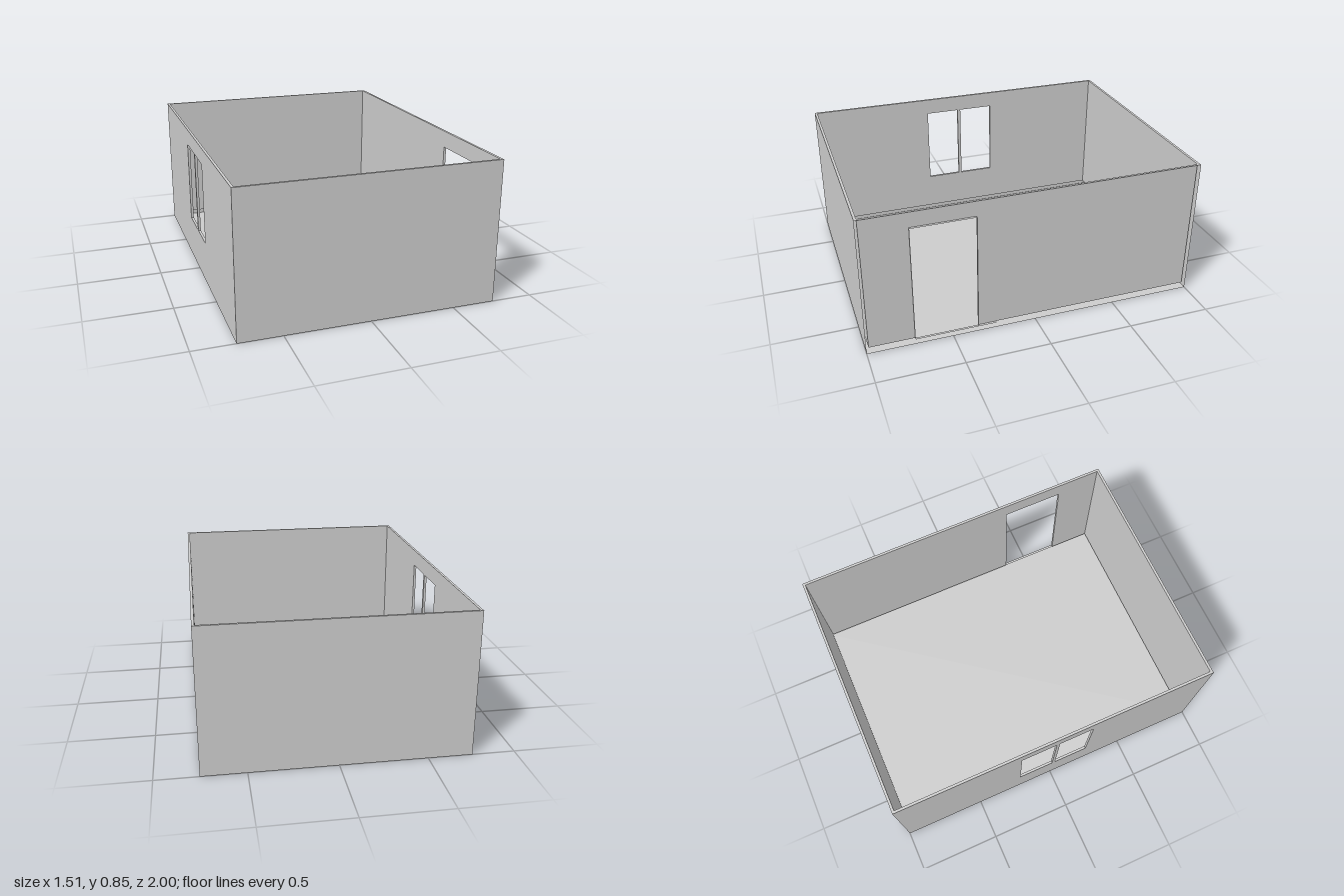
import * as THREE from 'three';

const W = 0.755, D = 1, H = 0.85, T = 0.015, LIFT = 0.03;
const material = new THREE.MeshStandardMaterial({ color: 0xcccccc, side: THREE.DoubleSide });

// Openings as [z0, z1, y0, y1]
const door = [0.35, 0.72, LIFT, 0.75];
const panes = [[-0.22, 0, 0.26, 0.75], [0.02, 0.235, 0.26, 0.75]];

function rectangle(path, [u0, u1, v0, v1]) {
  path.moveTo(u0, v0);
  path.lineTo(u1, v0);
  path.lineTo(u1, v1);
  path.lineTo(u0, v1);
  path.closePath();
  return path;
}

// Thin flat panel with rectangular holes
function panel(bounds, holes = []) {
  const shape = rectangle(new THREE.Shape(), bounds);
  shape.holes = holes.map((h) => rectangle(new THREE.Path(), h));
  return new THREE.ShapeGeometry(shape);
}

export function createModel() {
  const model = new THREE.Group();
  const add = (name, geometry, parent = model) => {
    const mesh = new THREE.Mesh(geometry, material);
    mesh.name = name;
    parent.add(mesh);
    return mesh;
  };

  // Panels facing z and panels facing x (drawn along z, y)
  const acrossX = (name, z, bounds) => add(name, panel(bounds).translate(0, 0, z));
  const acrossZ = (name, x, bounds, holes) =>
    add(name, panel(bounds, holes).rotateY(-Math.PI / 2).translate(x, 0, 0));
  const level = (name, y, bounds, holes, parent) =>
    add(name, panel(bounds, holes).rotateX(Math.PI / 2).translate(0, y, 0), parent);

  // Floor and the rim that closes the wall tops
  level('floor', 0, [-W, W, -D, D]);
  level('topRim', H, [-W, W, -D, D], [[-W + T, W - T, -D + T, D - T]]);

  // Front and back walls, outer and inner skins
  for (const [side, s] of [['front', 1], ['back', -1]]) {
    acrossX(side + 'WallOuter', s * D, [-W, W, 0, H]);
    acrossX(side + 'WallInner', s * (D - T), [-W + T, W - T, LIFT, H]);
  }

  // Window wall, outer and inner skins
  const inner = [-D + T, D - T, LIFT, H];
  acrossZ('windowWallOuter', -W, [-D, D, 0, H], panes);
  acrossZ('windowWallInner', -W + T, inner, panes);

  // Door wall: inner skin only, with the doorway cut up from its lower edge
  const [d0, d1, , dTop] = door;
  const doorShape = new THREE.Shape([
    [-D + T, LIFT], [d0, LIFT], [d0, dTop], [d1, dTop],
    [d1, LIFT], [D - T, LIFT], [D - T, H], [-D + T, H],
  ].map(([z, y]) => new THREE.Vector2(z, y)));
  add('doorWall', new THREE.ShapeGeometry(doorShape).rotateY(-Math.PI / 2).translate(W - T, 0, 0));

  // Reveals lining an opening between x0 and x1
  function reveals(name, x0, [z0, z1, y0, y1], sillStart = z0) {
    const group = new THREE.Group();
    group.name = name;
    const x1 = x0 + T;
    for (const z of [z0, z1]) add('jamb', panel([x0, x1, y0, y1]).translate(0, 0, z), group);
    level('head', y1, [x0, x1, z0, z1], [], group);
    level('sill', y0, [x0, x1, sillStart, z1], [], group);
    model.add(group);
  }
  reveals('doorFrame', W - T, door, 0.24);
  panes.forEach((p) => reveals('windowFrame', -W, p));

  return model;
}
